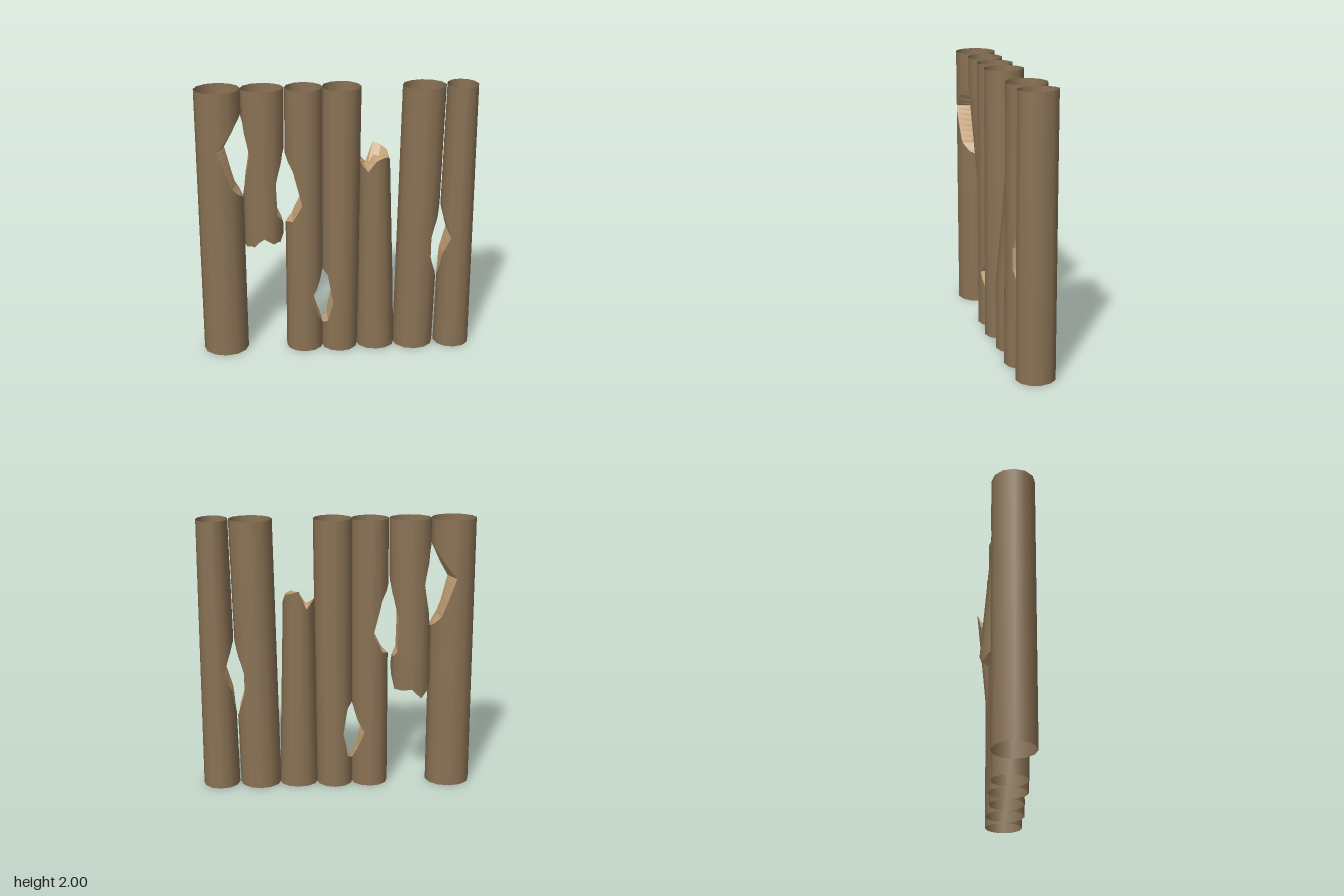
import * as THREE from 'three';

const SIDES = 12, HALF = SIDES / 2;
const { clamp, lerp } = THREE.MathUtils;

// Bite edge: x limit at height y, from points [y, x]
function biteLimit(bite, y) {
  const i = Math.max(1, bite.findIndex(p => p[0] >= y));
  const [a, b] = [bite[i - 1], bite[i]];
  return lerp(a[1], b[1], (y - a[0]) / (b[0] - a[0]));
}

// Surface through a grid of points; uses given normals or flat faces
function gridGeometry(rows, normals) {
  const w = rows[0].length, index = [];
  for (let j = 0; j < rows.length - 1; j++) {
    for (let i = 0; i < w - 1; i++) {
      const a = j * w + i, b = a + 1, c = a + w, d = c + 1;
      index.push(a, c, b, b, c, d);
    }
  }
  let geo = new THREE.BufferGeometry();
  geo.setAttribute('position', new THREE.Float32BufferAttribute(rows.flat(2), 3));
  geo.setIndex(index);
  if (normals) {
    geo.setAttribute('normal', new THREE.Float32BufferAttribute(normals.flat(2), 3));
  } else {
    geo = geo.toNonIndexed();
    geo.computeVertexNormals();
  }
  return geo;
}

// x and r run from foot to top; lean pushes the log backwards from base to tip
function buildLog(name, { x, r, depth, lean, left, right, bulge = 0, low, high }, bark, wood) {
  const group = new THREE.Group();
  group.name = name;
  const add = (part, geo, mat) => {
    const mesh = new THREE.Mesh(geo, mat);
    mesh.name = part;
    group.add(mesh);
  };

  const section = y => ({
    cx: lerp(x[0], x[1], y / 2),
    cz: 0.035 - (lean ? 0.095 * clamp((y - lean.base) / (lean.tip - lean.base), 0, 1) : 0),
    rx: lerp(r[0], r[1], y / 2),
  });
  // Angle from +x at which a bite cuts the wall
  const cutAngle = (bite, y, fallback) => {
    if (!bite || y < bite[0][0] || y > bite[bite.length - 1][0]) return fallback;
    const { cx, rx } = section(y);
    return Math.acos(clamp((biteLimit(bite, y) - cx) / rx, -1, 1));
  };
  // Point and normal on the faceted wall; s = 1 front, -1 back
  const wall = (y, t, s) => {
    const { cx, cz, rx } = section(y);
    const step = Math.PI / HALF;
    const k = Math.cos(step / 2) / Math.cos((t % step) - step / 2);
    const n = new THREE.Vector3(Math.cos(t) / rx, 0, s * Math.sin(t) / depth).normalize();
    return { p: [cx + rx * k * Math.cos(t), y, cz + s * depth * k * Math.sin(t)], n: n.toArray() };
  };

  // Heights, with an extra row at every bite corner
  const heights = new Set([...(left || []), ...(right || [])].map(b => b[0]));
  for (let i = 0; i <= 50; i++) heights.add(i / 25);
  const ys = [...heights].sort((a, b) => a - b);

  // Bark: front and back half shells, trimmed by bites and broken ends
  for (const s of [1, -1]) {
    const rows = [], normals = [];
    for (const rowY of ys) {
      const row = [];
      for (let i = 0; i <= HALF; i++) {
        const id = s > 0 ? i : (SIDES - i) % SIDES;
        const y = clamp(rowY, low ? low[id] : 0, high ? high[id] : 2);
        const t0 = cutAngle(right, y, 0), t1 = cutAngle(left, y, Math.PI);
        row.push(wall(y, clamp(i * Math.PI / HALF, t0, t1), s));
      }
      if (s < 0) row.reverse();
      rows.push(row.map(v => v.p));
      normals.push(row.map(v => v.n));
    }
    add(s > 0 ? 'frontBark' : 'backBark', gridGeometry(rows, normals), bark);
  }

  // Bare wood closing each side bite
  for (const [part, bite, side] of [['leftBiteWood', left, Math.PI], ['rightBiteWood', right, 0]]) {
    if (!bite) continue;
    const rows = ys.filter(y => y >= bite[0][0] && y <= bite[bite.length - 1][0]).map(y => {
      const t = cutAngle(bite, y, 0);
      const f = wall(y, t, 1).p, b = wall(y, t, -1).p;
      return [f, [lerp(f[0], wall(y, side, 1).p[0], bulge), y, (f[2] + b[2]) / 2], b];
    });
    add(part, gridGeometry(rows), wood);
  }

  // Recessed bare wood in a broken end
  const jag = low || high;
  if (jag) {
    const inset = low ? 0.05 : -0.05;
    const mean = jag.reduce((a, b) => a + b) / SIDES;
    const { cx, cz } = section(mean + inset);
    const rings = [[], [], []];
    for (let i = 0; i <= SIDES; i++) {
      const p = wall(jag[i % SIDES], i * Math.PI / HALF, 1).p;
      rings[0].push(p);
      rings[1].push([lerp(cx, p[0], 0.7), mean + inset * 0.8 + (p[1] - mean) * 0.4, lerp(cz, p[2], 0.7)]);
      rings[2].push([cx, mean + inset, cz]);
    }
    if (low) rings.reverse();
    add('brokenEndWood', gridGeometry(rings), wood);
  }
  return group;
}

export function createModel() {
  const bark = new THREE.MeshStandardMaterial({ color: 0x8b7355, side: THREE.DoubleSide });
  bark.name = 'bark';
  const wood = new THREE.MeshStandardMaterial({ color: 0xc4a176, side: THREE.DoubleSide });
  wood.name = 'bareWood';
  const model = new THREE.Group();
  model.name = 'logPalisade';
  const log = (name, spec) => model.add(buildLog(name, spec, bark, wood));

  // Bites are [height, x limit]; low and high are jagged rim heights around the log
  log('rightEndLog', { x: [-.835, -.838], r: [.165, .162], depth: .153, bulge: .28,
    right: [[1.2, -.67], [1.3, -.75], [1.58, -.85], [1.68, -.77], [1.83, -.67]] });
  log('hangingBrokenLog', { x: [-.54, -.527], r: [.133, .153], depth: .13, lean: { base: 1.8, tip: .71 },
    left: [[1.2, -.68], [1.53, -.63], [1.83, -.685]],
    right: [[1, -.4], [1.05, -.43], [1.3, -.44], [1.55, -.38]],
    low: [.87, .84, .83, .88, .82, .8, .8, .76, .71, .78, .77, .77] });
  log('notchedLog', { x: [-.245, -.237], r: [.135, .135], depth: .133,
    left: [[1, -.38], [1.03, -.33], [1.16, -.26], [1.4, -.32], [1.52, -.378]],
    right: [[.19, -.11], [.42, -.2], [.5, -.15], [.63, -.108]] });
  log('middleLog', { x: [.015, .03], r: [.135, .14], depth: .145,
    left: [[.19, -.12], [.23, -.08], [.39, -.04], [.6, -.08], [.63, -.12]] });
  log('standingBrokenLog', { x: [.285, .275], r: [.142, .1], depth: .13, lean: { base: .5, tip: 1.52 },
    high: [1.42, 1.46, 1.47, 1.45, 1.37, 1.41, 1.44, 1.43, 1.38, 1.52, 1.5, 1.48] });
  log('wideLog', { x: [.57, .615], r: [.15, .155], depth: .145,
    right: [[.53, .735], [.73, .68], [.88, .68], [1.08, .745]] });
  log('leftEndLog', { x: [.865, .887], r: [.135, .113], depth: .142,
    left: [[.53, .735], [.75, .77], [.88, .82], [1.1, .755]] });
  return model;
}
